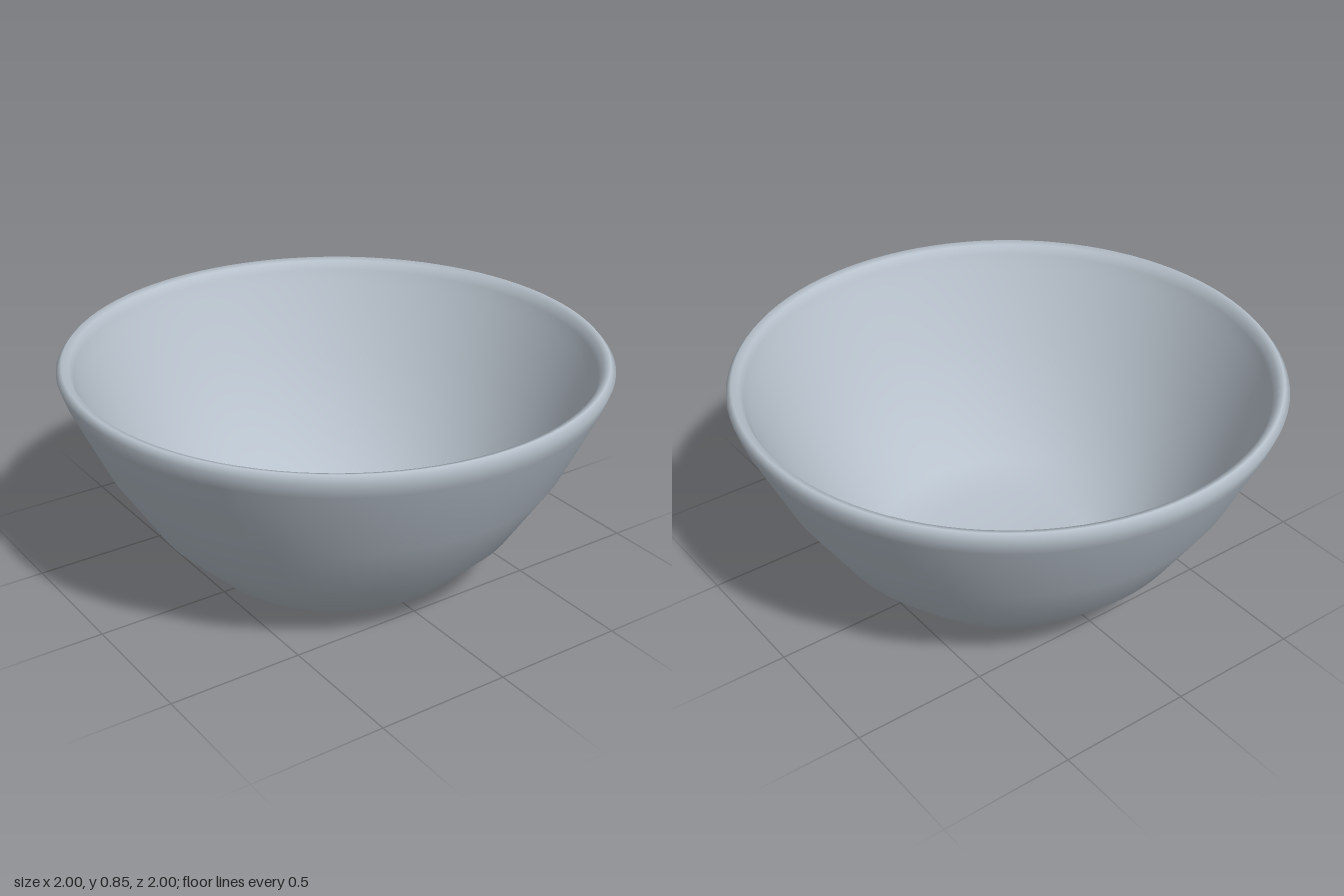
import * as THREE from 'three';

export function createModel() {
  const model = new THREE.Group();
  model.name = 'bowl';

  const glaze = new THREE.MeshStandardMaterial({ color: 0xb8c2cc });
  glaze.name = 'pale blue grey glaze';

  // Closed profile: [radius, height], from under the foot, over the rim, to the inside floor
  const outside = [[0, 0], [0.34, 0.004], [0.51, 0.06], [0.69, 0.24], [0.85, 0.49], [0.98, 0.77]];
  const rim = [[1, 0.83], [0.98, 0.853], [0.955, 0.845], [0.94, 0.81]];
  const inside = [[0.92, 0.76], [0.795, 0.5], [0.64, 0.27], [0.475, 0.11], [0.32, 0.06], [0, 0.055]];

  const profile = [...outside, ...rim, ...inside].map(([r, y]) => new THREE.Vector2(r, y));
  const shell = new THREE.Mesh(new THREE.LatheGeometry(profile, 96), glaze);
  shell.name = 'bowlShell';
  model.add(shell);

  return model;
}
